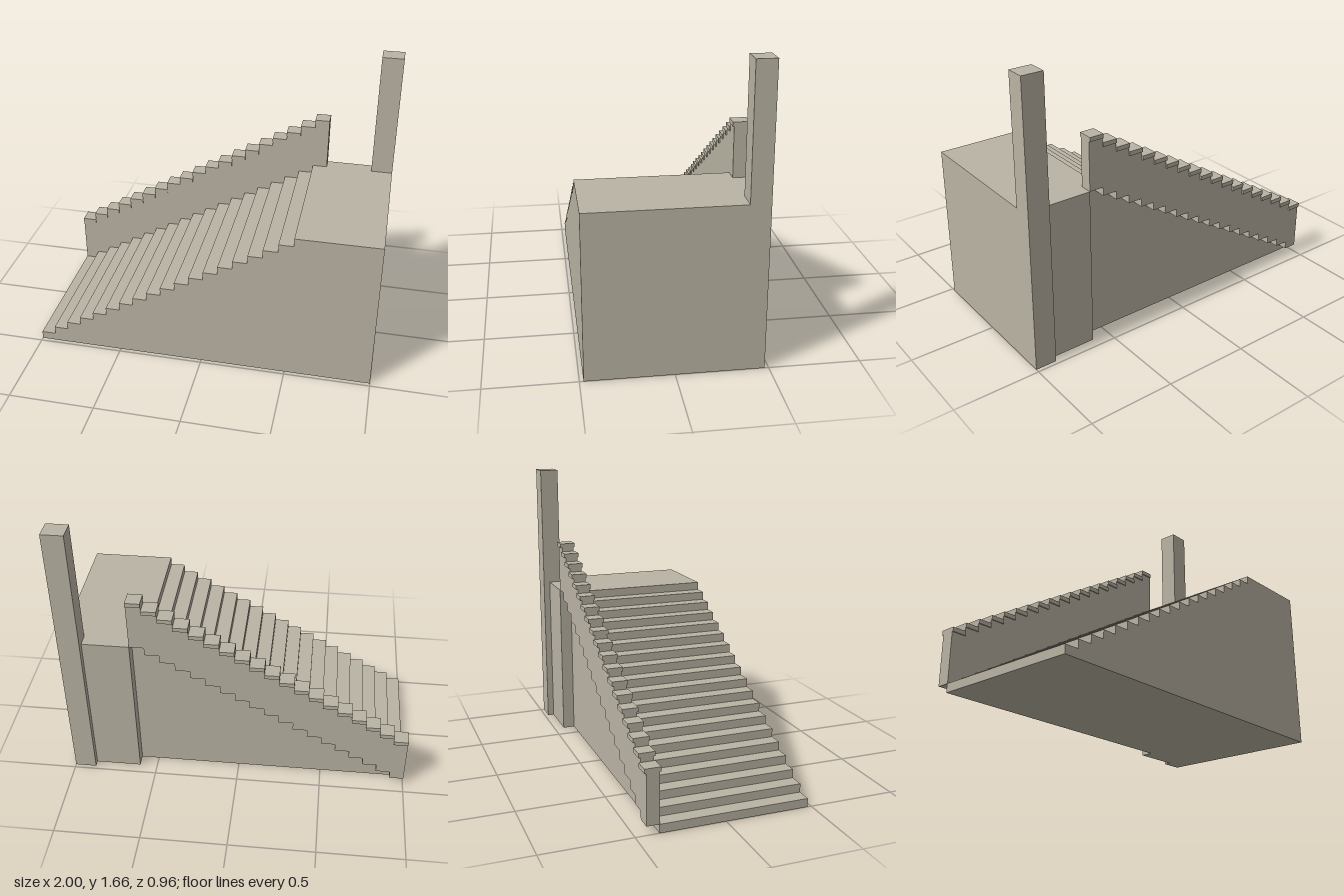
import * as THREE from 'three';

const STEPS = 19;
const RUN = 1.605 / STEPS;
const RISE = 0.932 / STEPS;
const TOP = 0.932;
const WALL_END = 0.605;

export function createModel() {
  const model = new THREE.Group();
  const stone = new THREE.MeshStandardMaterial({ color: 0xb9b3a3 });
  stone.name = 'stone';

  const add = (name, geometry, parent = model) => {
    const mesh = new THREE.Mesh(geometry, stone);
    mesh.name = name;
    parent.add(mesh);
    return mesh;
  };
  const box = (name, x0, x1, y0, y1, z0, z1, parent) =>
    add(name, new THREE.BoxGeometry(x1 - x0, y1 - y0, z1 - z0), parent)
      .position.set((x0 + x1) / 2, (y0 + y1) / 2, (z0 + z1) / 2);
  const extrude = (name, points, z0, z1) => {
    const geometry = new THREE.ExtrudeGeometry(new THREE.Shape(points),
      { depth: z1 - z0, bevelEnabled: false });
    add(name, geometry).position.z = z0;
  };
  // Stepped line rising to the right, lifted by a given height
  const stepLine = (lift) => {
    const points = [];
    for (let i = 0; i < STEPS; i++) {
      const y = (i + 1) * RISE + lift;
      points.push(new THREE.Vector2(-1 + i * RUN, y), new THREE.Vector2(-1 + (i + 1) * RUN, y));
    }
    return points;
  };

  // Solid staircase with its landing
  extrude('staircase', [
    new THREE.Vector2(-1, 0), new THREE.Vector2(1, 0), new THREE.Vector2(1, TOP),
    ...stepLine(0).reverse(),
  ], -0.37, 0.478);

  // Landing strip behind the staircase, between side wall and post
  box('landingBack', WALL_END, 0.875, 0, TOP, -0.44, -0.37);

  // Side wall, stepped along its lower and upper edges
  extrude('sideWall', [...stepLine(0), ...stepLine(0.285).reverse()], -0.44, -0.367);

  // Coping stones on the side wall
  const coping = new THREE.Group();
  coping.name = 'coping';
  model.add(coping);
  for (let i = 0; i < STEPS; i++) {
    const x = -1 + i * RUN;
    const y = (i + 1) * RISE + 0.285;
    box('copingStone', x, x + RUN, y, y + 0.025, -0.45, -0.36, coping);
  }

  // Tall corner post
  box('post', 0.875, 1, 0, 1.665, -0.478, -0.367);

  return model;
}
